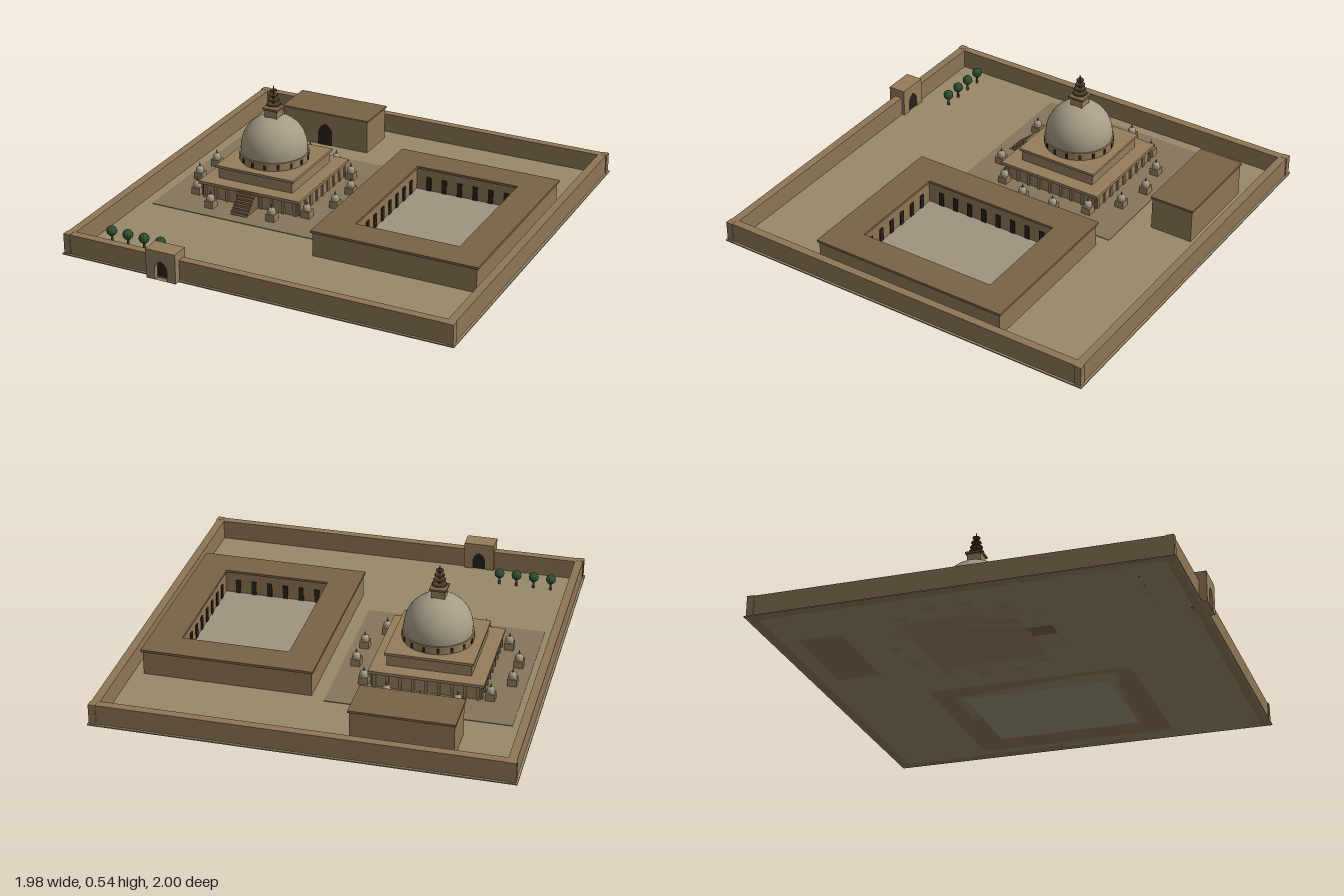
import * as THREE from 'three';

const mat = (color, extra = {}) => new THREE.MeshStandardMaterial({ color, ...extra });
const M = {
  ground: mat(0x97896a), paving: mat(0x85775a), court: mat(0x9e9480),
  brick: mat(0x8f7656), stone: mat(0x957d5c), roof: mat(0x7a6246),
  dome: mat(0xa69c86), dark: mat(0x2a2119), metal: mat(0x4a3c28),
  leaf: mat(0x2f5030, { flatShading: true }), trunk: mat(0x54402a),
};

function add(parent, name, geo, material, x = 0, y = 0, z = 0) {
  const mesh = new THREE.Mesh(geo, material);
  mesh.name = name;
  mesh.position.set(x, y, z);
  parent.add(mesh);
  return mesh;
}

// Box given by its footprint centre and its bottom and top heights
const block = (parent, name, material, x, z, w, d, y0, y1) =>
  add(parent, name, new THREE.BoxGeometry(w, y1 - y0, d), material, x, (y0 + y1) / 2, z);

function group(parent, name, x = 0, z = 0) {
  const g = new THREE.Group();
  g.name = name;
  g.position.set(x, 0, z);
  parent.add(g);
  return g;
}

// Pointed arch outline standing on y = 0
function arch(path, w, h) {
  path.moveTo(-w / 2, 0);
  path.lineTo(-w / 2, h * 0.5);
  path.quadraticCurveTo(-w / 2, h * 0.85, 0, h);
  path.quadraticCurveTo(w / 2, h * 0.85, w / 2, h * 0.5);
  path.lineTo(w / 2, 0);
  path.closePath();
  return path;
}

function buildWalls(root) {
  const g = group(root, 'boundaryWall', 0, -0.012);
  const top = 0.105, mid = 0.957, t = 0.04;
  for (const s of [-1, 1]) {
    block(g, 'wallAcross', M.brick, 0, s * mid, 1.94, t, 0, top);
    block(g, 'wallAlong', M.brick, s * mid, 0, t, 1.94, 0, top);
    for (const c of [-1, 1])
      block(g, 'cornerPost', M.brick, s * 0.964, c * 0.964, 0.034, 0.034, 0, top + 0.001);
  }
}

function buildGate(root) {
  const g = group(root, 'gate', -0.443, 0);
  const shape = new THREE.Shape();
  shape.moveTo(-0.077, 0);
  shape.lineTo(0.077, 0);
  shape.lineTo(0.077, 0.147);
  shape.lineTo(-0.077, 0.147);
  shape.closePath();
  shape.holes.push(arch(new THREE.Path(), 0.065, 0.097));
  const geo = new THREE.ExtrudeGeometry(shape, { depth: 0.09, bevelEnabled: false });
  add(g, 'gatehouse', geo, M.stone, 0, 0, 0.91);
  block(g, 'gateDoor', M.dark, 0, 0.945, 0.07, 0.06, 0, 0.1);
}

function buildStupa(root) {
  const g = group(root, 'stupa', -0.443, -0.1);
  // Two square terraces with projecting cornices
  block(g, 'lowerTerrace', M.stone, 0, 0, 0.52, 0.52, 0, 0.08);
  block(g, 'lowerCornice', M.stone, 0, 0, 0.55, 0.55, 0.08, 0.095);
  block(g, 'upperTerrace', M.stone, 0, 0, 0.405, 0.405, 0.095, 0.152);
  block(g, 'upperCornice', M.stone, 0, 0, 0.425, 0.425, 0.152, 0.165);
  for (let side = 0; side < 4; side++) {
    const face = group(g, 'terracePilasters');
    face.rotation.y = side * Math.PI / 2;
    for (let i = -4; i <= 4; i++)
      block(face, 'pilaster', M.stone, i * 0.0615, 0.262, 0.014, 0.012, 0, 0.08);
  }
  // Front stair
  for (let i = 0; i < 8; i++) {
    const z1 = 0.38 - i * 0.0135;
    block(g, 'step', M.roof, 0, (z1 + 0.25) / 2, 0.09, z1 - 0.25, 0, 0.0115 * (i + 1));
  }
  // Drum with a ring of small niches
  add(g, 'drum', new THREE.CylinderGeometry(0.171, 0.171, 0.04, 40), M.stone, 0, 0.185, 0);
  for (let i = 0; i < 16; i++) {
    const a = (i + 0.5) / 16 * Math.PI * 2;
    const n = block(g, 'drumNiche', M.dark, Math.sin(a) * 0.17, Math.cos(a) * 0.17, 0.014, 0.006, 0.17, 0.195);
    n.rotation.y = a;
  }
  // Stilted dome
  const profile = [new THREE.Vector2(0.164, 0.203)];
  for (let i = 0; i <= 16; i++) {
    const a = i / 16 * Math.PI / 2;
    profile.push(new THREE.Vector2(Math.cos(a) * 0.165, 0.226 + Math.sin(a) * 0.165));
  }
  add(g, 'dome', new THREE.LatheGeometry(profile, 40), M.dome);
  // Railing box and tiered spire
  block(g, 'railingBox', M.stone, 0, 0, 0.066, 0.066, 0.38, 0.425);
  block(g, 'railingCap', M.roof, 0, 0, 0.082, 0.082, 0.425, 0.435);
  add(g, 'spirePole', new THREE.CylinderGeometry(0.003, 0.005, 0.11, 8), M.metal, 0, 0.488, 0);
  [0.037, 0.031, 0.025, 0.019].forEach((r, i) =>
    add(g, 'spireDisc', new THREE.CylinderGeometry(r * 0.9, r, 0.005, 16), M.metal, 0, 0.449 + i * 0.024, 0));

  // Ring of small votive stupas, leaving the stair side open
  const smallDome = new THREE.SphereGeometry(0.02, 12, 6, 0, Math.PI * 2, 0, Math.PI / 2);
  for (let i = 0; i < 14; i++) {
    if (i === 7) continue;
    const a = i / 14 * Math.PI * 2;
    const v = group(g, 'votiveStupa', Math.sin(a) * 0.386, -Math.cos(a) * 0.386);
    block(v, 'votiveBase', M.stone, 0, 0, 0.046, 0.046, 0, 0.045);
    add(v, 'votiveDrum', new THREE.CylinderGeometry(0.02, 0.02, 0.012, 12), M.dome, 0, 0.051, 0);
    add(v, 'votiveDome', smallDome, M.dome, 0, 0.057, 0);
    add(v, 'votiveSpire', new THREE.ConeGeometry(0.006, 0.024, 8), M.roof, 0, 0.086, 0);
  }
}

function buildMonastery(root) {
  const g = group(root, 'monastery', 0.476, -0.012);
  const W = 0.836, D = 1.016, w = 0.526, d = 0.704;
  const ring = (inset, y0, y1, name, material) => {
    const rect = (p, a, b) => {
      p.moveTo(-a / 2, -b / 2);
      p.lineTo(a / 2, -b / 2);
      p.lineTo(a / 2, b / 2);
      p.lineTo(-a / 2, b / 2);
      p.closePath();
      return p;
    };
    const s = rect(new THREE.Shape(), W - inset * 2, D - inset * 2);
    s.holes.push(rect(new THREE.Path(), w + inset * 2, d + inset * 2));
    const geo = new THREE.ExtrudeGeometry(s, { depth: y1 - y0, bevelEnabled: false });
    add(g, name, geo.rotateX(-Math.PI / 2), material, 0, y0, 0);
  };
  ring(0.008, 0, 0.126, 'cellWings', M.brick);
  ring(0, 0.126, 0.138, 'wingRoof', M.roof);
  block(g, 'courtyardFloor', M.court, 0, 0, w + 0.02, d + 0.02, 0, 0.014);
  // Cell doors facing the courtyard
  for (const s of [-1, 1]) {
    for (let i = 0; i < 8; i++)
      block(g, 'cellDoor', M.dark, s * (w / 2 + 0.007), (i - 3.5) * 0.082, 0.008, 0.026, 0.014, 0.085);
    for (let i = 0; i < 6; i++)
      block(g, 'cellDoor', M.dark, (i - 2.5) * 0.082, s * (d / 2 + 0.007), 0.026, 0.008, 0.014, 0.085);
  }
}

function buildHall(root) {
  const g = group(root, 'hall', -0.443, -0.764);
  block(g, 'hallBody', M.brick, 0, 0, 0.478, 0.214, 0, 0.174);
  block(g, 'hallRoof', M.roof, 0, 0, 0.49, 0.226, 0.174, 0.185);
  const door = new THREE.ExtrudeGeometry(arch(new THREE.Shape(), 0.08, 0.115), { depth: 0.004, bevelEnabled: false });
  add(g, 'hallDoor', door, M.dark, 0, 0.006, 0.106);
}

function buildTrees(root) {
  for (let i = 0; i < 4; i++) {
    const t = group(root, 'tree', -0.84 + i * 0.088, 0.778);
    add(t, 'trunk', new THREE.CylinderGeometry(0.005, 0.007, 0.05, 6), M.trunk, 0, 0.025, 0);
    add(t, 'foliage', new THREE.IcosahedronGeometry(0.026, 1), M.leaf, 0, 0.066, 0);
  }
}

export function createModel() {
  const root = new THREE.Group();
  root.name = 'stupaCompound';
  block(root, 'ground', M.ground, 0, -0.012, 1.976, 1.976, 0, 0.006);
  block(root, 'paving', M.paving, -0.443, -0.102, 0.885, 0.885, 0.002, 0.009);
  buildWalls(root);
  buildGate(root);
  buildStupa(root);
  buildMonastery(root);
  buildHall(root);
  buildTrees(root);
  return root;
}
